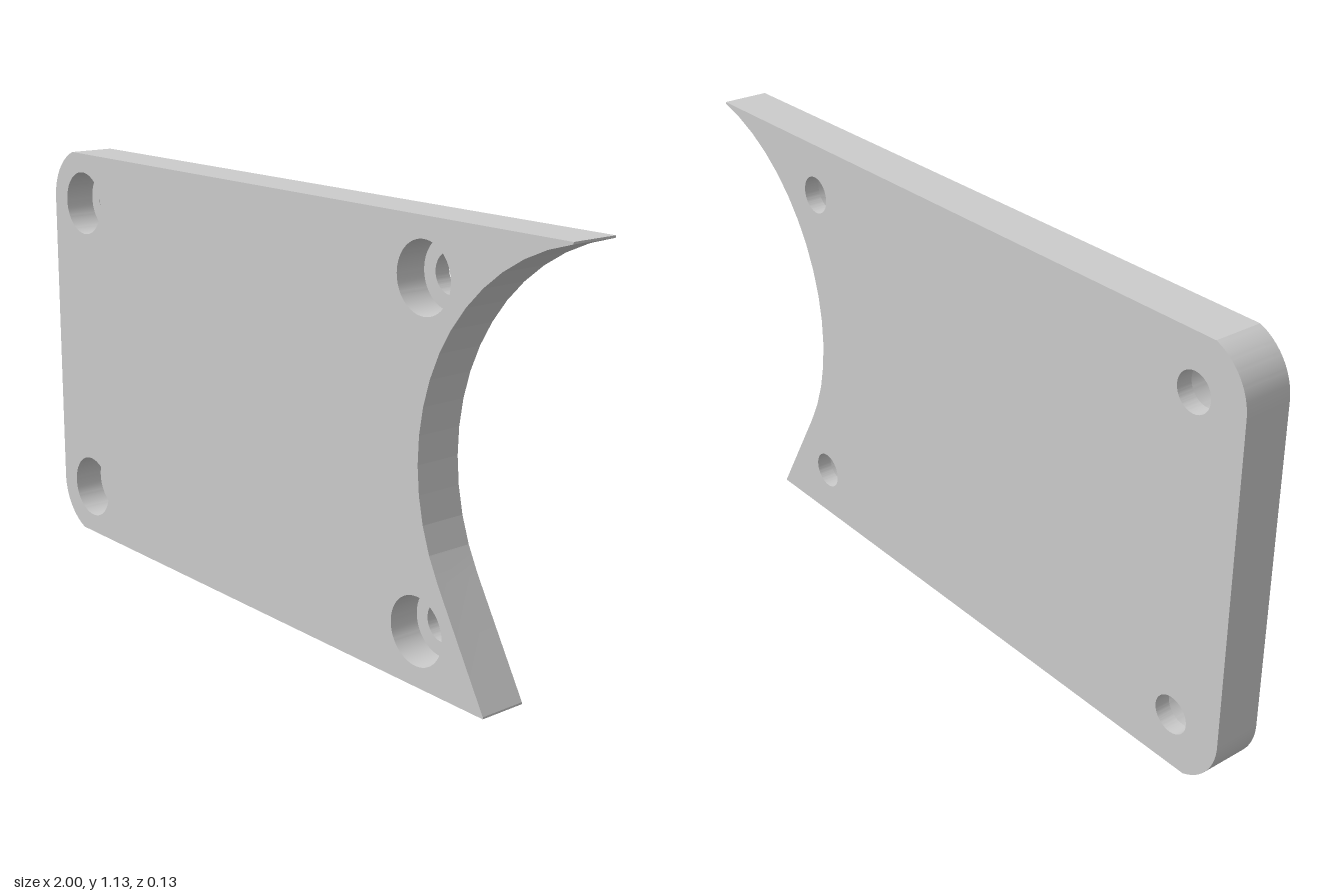
import * as THREE from 'three';
import { toCreasedNormals } from 'three/addons/utils/BufferGeometryUtils.js';

const HEIGHT = 1.13, THICK = 0.128;
const BORE = 0.05, COUNTERBORE = 0.088, LEDGE = 0.043; // ledge left behind each counterbore
const HOLE_X = [-0.85, 0.562], HOLE_Y = [0.141, 0.989];
const CREASE = 0.11;

// Points along a circular arc, angles in degrees
function arc(cx, cy, r, from, to, n) {
  return Array.from({ length: n + 1 }, (_, i) => {
    const a = THREE.MathUtils.degToRad(from + (to - from) * i / n);
    return new THREE.Vector2(cx + r * Math.cos(a), cy + r * Math.sin(a));
  });
}

export function createModel() {
  const group = new THREE.Group();
  group.name = 'mountingPlate';
  const material = new THREE.MeshStandardMaterial({ color: 0xcccccc });

  // Outline: slanted lower edge, concave cut-out, corners concentric with the left holes
  const outline = new THREE.Shape([
    new THREE.Vector2(0.79, 0),
    new THREE.Vector2(0.79, 0.005),
    ...arc(1.131, HEIGHT / 2, 0.575, 210, 103.2, 15),
    new THREE.Vector2(1, HEIGHT),
    ...arc(HOLE_X[0], HOLE_Y[1], 0.15, 110, 180, 20),
    ...arc(HOLE_X[0], HOLE_Y[0], 0.15, 180, 250, 20),
  ]);

  // Stepped ledge at the back of a counterbored hole
  const ledgeGeometry = toCreasedNormals(new THREE.LatheGeometry([
    new THREE.Vector2(COUNTERBORE, LEDGE),
    new THREE.Vector2(BORE, LEDGE),
    new THREE.Vector2(BORE, 0),
    new THREE.Vector2(COUNTERBORE, 0),
  ], 64).rotateX(Math.PI / 2), CREASE);

  for (const x of HOLE_X) for (const y of HOLE_Y) {
    outline.holes.push(new THREE.Path(arc(x, y, COUNTERBORE, 0, 360, 64).slice(0, -1)));
    const ledge = new THREE.Mesh(ledgeGeometry, material);
    ledge.name = 'screwHoleLedge';
    ledge.position.set(x, y, -THICK / 2);
    group.add(ledge);
  }

  // Plate body
  const body = new THREE.ExtrudeGeometry(outline, { depth: THICK, bevelEnabled: false });
  body.translate(0, 0, -THICK / 2);
  const plate = new THREE.Mesh(toCreasedNormals(body, CREASE), material);
  plate.name = 'plate';
  group.add(plate);
  return group;
}
